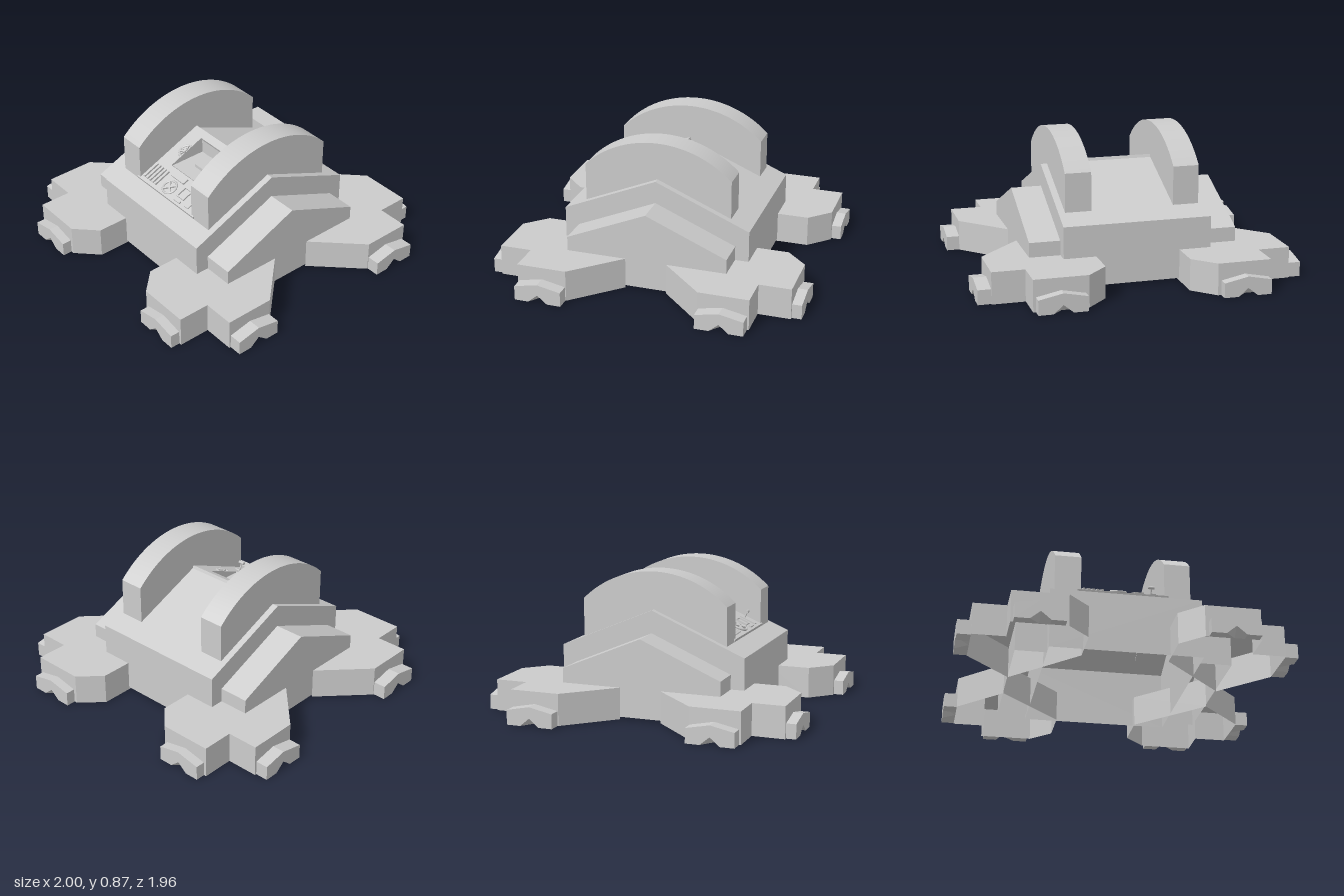
import * as THREE from 'three';
import { toCreasedNormals } from 'three/addons/utils/BufferGeometryUtils.js';

const material = new THREE.MeshStandardMaterial({ color: 0xcccccc, side: THREE.DoubleSide });
const TILT = Math.atan(0.25 / 0.59);   // roof pitch
const K = 1 / Math.cos(TILT);          // plan depth to distance along the slope

function add(parent, name, geometry, x = 0, y = 0, z = 0) {
  const mesh = new THREE.Mesh(geometry, material);
  mesh.name = name;
  mesh.position.set(x, y, z);
  parent.add(mesh);
  return mesh;
}

const polygon = (points) => new THREE.Shape(points.map(([a, b]) => new THREE.Vector2(a, b)));
const rect = (x0, z0, x1, z1) => polygon([[x0, -z0], [x1, -z0], [x1, -z1], [x0, -z1]]);
const extrude = (shape, depth, curveSegments = 12) =>
  new THREE.ExtrudeGeometry(shape, { depth, bevelEnabled: false, curveSegments });

// Profile in (z, y), swept from x0 to x1
const sideExtrude = (shape, x0, x1, segments) =>
  extrude(shape, x1 - x0, segments).rotateY(-Math.PI / 2).translate(x1, 0, 0);

// Plan outline in (x, -z), raised upwards
const planExtrude = (shape, height, segments) => extrude(shape, height, segments).rotateX(-Math.PI / 2);

// Remove the triangles whose normal passes the test, leaving an open shell
function dropFaces(geometry, test) {
  const p = geometry.attributes.position;
  const kept = [];
  const tri = new THREE.Triangle();
  const n = new THREE.Vector3();
  for (let i = 0; i < p.count; i += 3) {
    tri.setFromAttributeAndIndices(p, i, i + 1, i + 2);
    tri.getNormal(n);
    if (!test(n)) for (const v of [tri.a, tri.b, tri.c]) kept.push(v.x, v.y, v.z);
  }
  const out = new THREE.BufferGeometry();
  out.setAttribute('position', new THREE.Float32BufferAttribute(kept, 3));
  out.computeVertexNormals();
  return out;
}
const facesDown = (n) => n.y < -0.9;
const facesFrontSlope = (n) => n.y > 0.2 && n.z > 0.2;

// Toe pointing to +z with a peaked top and a notch that fades out inwards
function toeGeometry(length) {
  const w = 0.147;
  const g = extrude(polygon([[-w, 0], [-0.06, 0], [0, 0.05], [0.06, 0], [w, 0], [w, 0.09], [0, 0.12], [-w, 0.09]]), length);
  const p = g.attributes.position;
  for (let i = 0; i < p.count; i++) {
    if (Math.abs(p.getX(i)) < 0.001 && p.getY(i) < 0.06 && p.getZ(i) < 0.001) p.setY(i, 0);
  }
  return dropFaces(g, (n) => n.z < -0.9);
}

function addFoot(parent, sx, sz) {
  const foot = new THREE.Group();
  foot.name = 'foot';
  parent.add(foot);
  const plan = [[0.26, 0.53], [0.26, 0.79], [0.39, 0.92], [0.72, 0.92], [0.72, 0.72], [0.92, 0.72], [0.92, 0.41], [0.65, 0.13]];
  const shape = polygon(plan.map(([x, z]) => [sx * x, -sz * z]));
  add(foot, 'footShell', dropFaces(planExtrude(shape, 0.195), facesDown));
  add(foot, 'endToe', toeGeometry(0.06), sx * 0.557, 0, sz * 0.92).rotation.y = sz > 0 ? 0 : Math.PI;
  add(foot, 'sideToe', toeGeometry(0.08), sx * 0.92, 0, sz * 0.562).rotation.y = sx * Math.PI / 2;
}

function addConsole(parent) {
  // Group lying on the front roof slope: local z runs down the slope, local y is its normal
  const panel = new THREE.Group();
  panel.name = 'console';
  panel.position.y = 0.64;
  panel.rotation.x = TILT;
  parent.add(panel);

  const hole = () => rect(-0.15, 0.05 * K, 0.15, 0.29 * K);
  const roof = rect(-0.46, 0, 0.46, 0.59 * K);
  roof.holes.push(hole());
  add(panel, 'frontRoof', new THREE.ShapeGeometry(roof).rotateX(-Math.PI / 2));
  const plate = rect(-0.28, 0, 0.28, 0.465 * K);
  plate.holes.push(hole());
  add(panel, 'consolePlate', planExtrude(plate, 0.02));

  const top = 0.02;
  const block = (name, x, z, w, d, h) => add(panel, name, new THREE.BoxGeometry(w, h, d * K), x, top + h / 2, z * K);

  // Half dials beside the recess
  for (const s of [-1, 1]) {
    const dial = new THREE.Group();
    dial.name = 'halfDial';
    dial.position.set(s * 0.152, top, 0.17 * K);
    dial.rotation.y = s > 0 ? 0 : Math.PI;
    panel.add(dial);
    add(dial, 'dialRim', new THREE.TorusGeometry(0.046, 0.008, 6, 12, Math.PI).rotateX(Math.PI / 2).rotateY(Math.PI / 2));
    for (let i = 0; i < 5; i++) {
      const a = (i - 2) * 0.6;
      add(dial, 'dialSpoke', new THREE.BoxGeometry(0.04, 0.01, 0.006), 0.022 * Math.cos(a), 0.004, -0.022 * Math.sin(a)).rotation.y = a;
    }
  }

  // Vent bars, slot and key block
  for (let i = 0; i < 5; i++) block('ventBar', -0.234 + i * 0.028, 0.387, 0.014, 0.11, 0.012);
  block('slot', -0.02, 0.325, 0.12, 0.038, 0.012);
  for (const s of [-1, 1]) {
    block('keyFrameSide', 0.102 + s * 0.03, 0.385, 0.006, 0.07, 0.01);
    block('keyFrameEnd', 0.102, 0.385 + s * 0.033, 0.06, 0.006, 0.01);
  }
  block('keyBar', 0.102, 0.443, 0.06, 0.014, 0.01);

  // Hand wheel with crossed spokes
  add(panel, 'handWheelRim', new THREE.TorusGeometry(0.047, 0.007, 6, 20).rotateX(Math.PI / 2), -0.02, top + 0.006, 0.405 * K);
  for (const a of [Math.PI / 4, -Math.PI / 4]) block('handWheelSpoke', -0.02, 0.405, 0.09, 0.01, 0.012).rotation.y = a;

  // Lever on its slotted base
  block('leverBase', 0.19, 0.395, 0.035, 0.1, 0.008);
  add(panel, 'leverRod', new THREE.CylinderGeometry(0.005, 0.005, 0.05, 8), 0.19, top + 0.025, 0.37 * K);
  add(panel, 'leverGrip', new THREE.CylinderGeometry(0.01, 0.01, 0.04, 8).rotateZ(Math.PI / 2), 0.19, top + 0.05, 0.37 * K);
}

export function createModel() {
  const model = new THREE.Group();
  model.name = 'model';

  // Main hull, open below; its front roof is part of the console
  const hull = polygon([[-0.59, 0.015], [0.59, 0.015], [0.59, 0.39], [0, 0.64], [-0.59, 0.39]]);
  add(model, 'hull', dropFaces(sideExtrude(hull, -0.46, 0.46), (n) => facesDown(n) || facesFrontSlope(n)));
  addConsole(model);

  // Recess sunk into the console, with an hourglass handle on its level floor
  const recess = polygon([[0.05, 0.53], [0.29, 0.53], [0.05, 0.63]]);
  add(model, 'consoleRecess', dropFaces(sideExtrude(recess, -0.15, 0.15), facesFrontSlope));
  const handle = polygon([[-0.05, -0.065], [-0.05, -0.078], [-0.028, -0.1], [-0.028, -0.155], [-0.05, -0.177], [-0.05, -0.19],
    [0.05, -0.19], [0.05, -0.177], [0.028, -0.155], [0.028, -0.1], [0.05, -0.078], [0.05, -0.065]]);
  add(model, 'recessHandle', planExtrude(handle, 0.02), 0, 0.53, 0);

  // Tall rounded guards standing on the roof
  const R = 0.664, half = Math.asin(0.465 / R);
  const guard = polygon([[-0.465, 0.435], [0, 0.632], [0.465, 0.435]]);
  guard.absarc(0, 0.872 - R, R, Math.PI / 2 - half, Math.PI / 2 + half, false);
  const skirt = polygon([[-0.505, 0.015], [0.505, 0.015], [0.505, 0.285], [0, 0.5], [-0.505, 0.285]]);
  for (const s of [-1, 1]) {
    const guardX = [s * 0.257, s * 0.419].sort((a, b) => a - b);
    add(model, 'roundedGuard', toCreasedNormals(sideExtrude(guard, ...guardX, 32), 0.4));
    const skirtX = [s * 0.46, s * 0.65].sort((a, b) => a - b);
    add(model, 'sideSkirt', dropFaces(sideExtrude(skirt, ...skirtX), facesDown));
    for (const sz of [-1, 1]) addFoot(model, s, sz);
  }
  return model;
}
